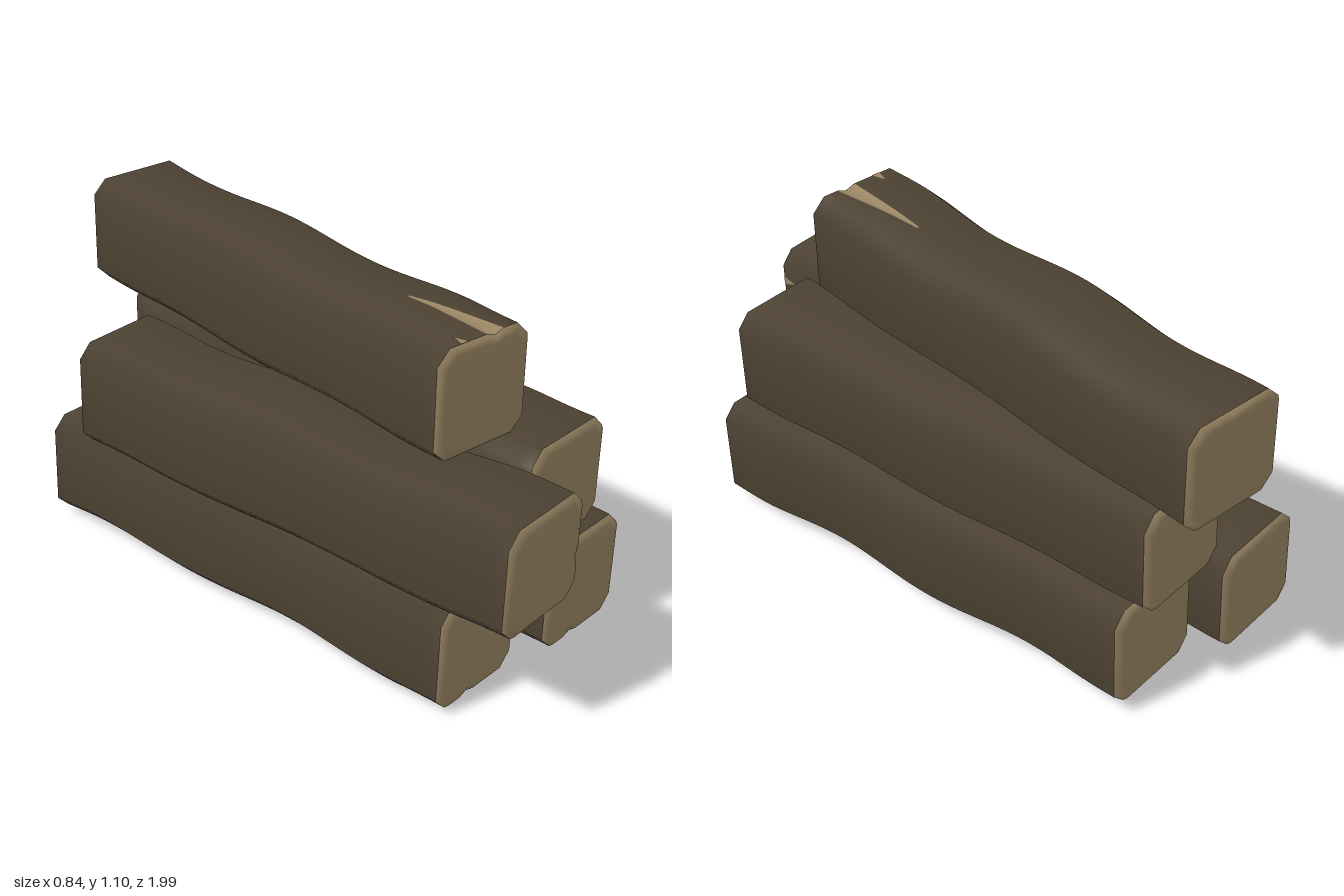
import * as THREE from 'three';

const bark = new THREE.MeshStandardMaterial({ color: 0x4d4233 });
bark.name = 'bark brown';
const wood = new THREE.MeshStandardMaterial({ color: 0x9a8664 });
wood.name = 'cut wood tan';

const HALF = 0.177, CHAMFER = 0.045, BEVEL = 0.015, CRACK = 0.36, STATIONS = 34;
const CRACK_SIDES = [1, 2];

// Chamfered square section, s measured from the front end; points 1-3 form the crack
function section(s, len) {
  const h = HALF, e = h - CHAMFER;
  const open = Math.max(0, 1 - s / CRACK);
  const k = -0.025 - 0.02 * open, w = 0.003 + 0.032 * open, d = 0.012 * open;
  const hollow = s < 0.18 ? 0 : 0.01 * (1 - Math.cos((s - 0.18) * Math.PI * 2 / 0.78));
  const bulge = 0.006 * Math.sin(Math.PI * s / len);
  const fade = Math.min(1, s / 0.2, (len - s) / 0.2);
  const right = 0.008 * fade * Math.sin(s * 8 + 1);
  const left = 0.007 * fade * Math.sin(s * 7 + 2.5);
  const points = [
    [-e, -h], [k - w, -h], [k, -h + d], [k + w, -h], [e, -h],
    [h, -e], [h, e], [e, h], [-e, h], [-h, e], [-h, -e],
  ];
  return points.map(([x, y]) => [
    x + (x > 0.1 ? right : x < -0.1 ? left : 0),
    y + (y < 0 ? hollow : bulge),
  ]);
}

// Joins rings of [x, y, z] points; keep(ring, side) chooses the faces
function loft(rings, keep = () => true, flip = false) {
  const n = rings[0].length, index = [];
  for (let j = 0; j < rings.length - 1; j++) {
    for (let i = 0; i < n; i++) {
      if (!keep(j, i)) continue;
      const a = j * n + i, b = j * n + (i + 1) % n, c = b + n, d = a + n;
      if (flip) index.push(a, b, d, b, c, d);
      else index.push(a, d, b, b, d, c);
    }
  }
  const g = new THREE.BufferGeometry();
  g.setAttribute('position', new THREE.Float32BufferAttribute(rings.flat(2), 3));
  g.setIndex(index);
  g.computeVertexNormals();
  return g;
}

function addMesh(group, name, geometry, material) {
  const mesh = new THREE.Mesh(geometry, material);
  mesh.name = name;
  group.add(mesh);
}

function makeBeam(name, front, back, quarterTurns) {
  const f = new THREE.Vector3(...front), b = new THREE.Vector3(...back);
  const axis = f.clone().sub(b), len = axis.length();
  const beam = new THREE.Group();
  beam.name = name;

  // Bark sides and the pale split running in from the front
  const stations = [];
  for (let j = 0; j <= STATIONS; j++) stations.push(BEVEL + (len - 2 * BEVEL) * j / STATIONS);
  const rings = stations.map(s => section(s, len).map(([x, y]) => [x, y, len / 2 - s]));
  const inCrack = (j, i) => CRACK_SIDES.includes(i) && stations[j + 1] < CRACK;
  addMesh(beam, 'bark', loft(rings, (j, i) => !inCrack(j, i)), bark);
  addMesh(beam, 'split', loft(rings, inCrack), wood);

  // Softly bevelled sawn ends
  for (const side of [1, -1]) {
    const outline = section(side > 0 ? BEVEL : len - BEVEL, len);
    const steps = [[1, BEVEL], [0.95, 0.005], [0.86, 0], [0.55, 0], [0, 0]];
    const capRings = steps.map(([scale, inset]) =>
      outline.map(([x, y]) => [x * scale, y * scale, side * (len / 2 - inset)]));
    addMesh(beam, side > 0 ? 'frontEnd' : 'backEnd', loft(capRings, undefined, side > 0), wood);
  }

  // Small chip beside the split
  const chip = new THREE.BufferGeometry();
  const y = -HALF - 0.002, z = len / 2 - BEVEL;
  chip.setAttribute('position', new THREE.Float32BufferAttribute(
    [0.06, y, z, 0.075, y, z - 0.05, 0.09, y, z], 3));
  chip.computeVertexNormals();
  addMesh(beam, 'chip', chip, wood);

  // Lay the beam between its two end centres
  beam.position.copy(f).add(b).multiplyScalar(0.5);
  beam.rotation.order = 'YXZ';
  beam.rotation.set(
    -Math.asin(axis.y / len),
    Math.atan2(axis.x, axis.z),
    quarterTurns * Math.PI / 2 - 0.035);
  return beam;
}

export function createModel() {
  const model = new THREE.Group();
  model.name = 'timberStack';
  const beams = [
    ['bottomRightBeam', [-0.21, 0.19, 0.775], [-0.18, 0.2, -0.875], 0],
    ['bottomLeftBeam', [0.205, 0.213, 0.86], [0.24, 0.222, -0.79], 0],
    ['middleRightBeam', [-0.225, 0.558, 0.995], [-0.232, 0.565, -0.67], 1],
    ['middleLeftBeam', [0.157, 0.56, 0.81], [0.192, 0.565, -0.84], -1],
    ['topBeam', [-0.08, 0.924, 0.66], [0.178, 0.896, -0.97], 2],
  ];
  for (const spec of beams) model.add(makeBeam(...spec));
  return model;
}
